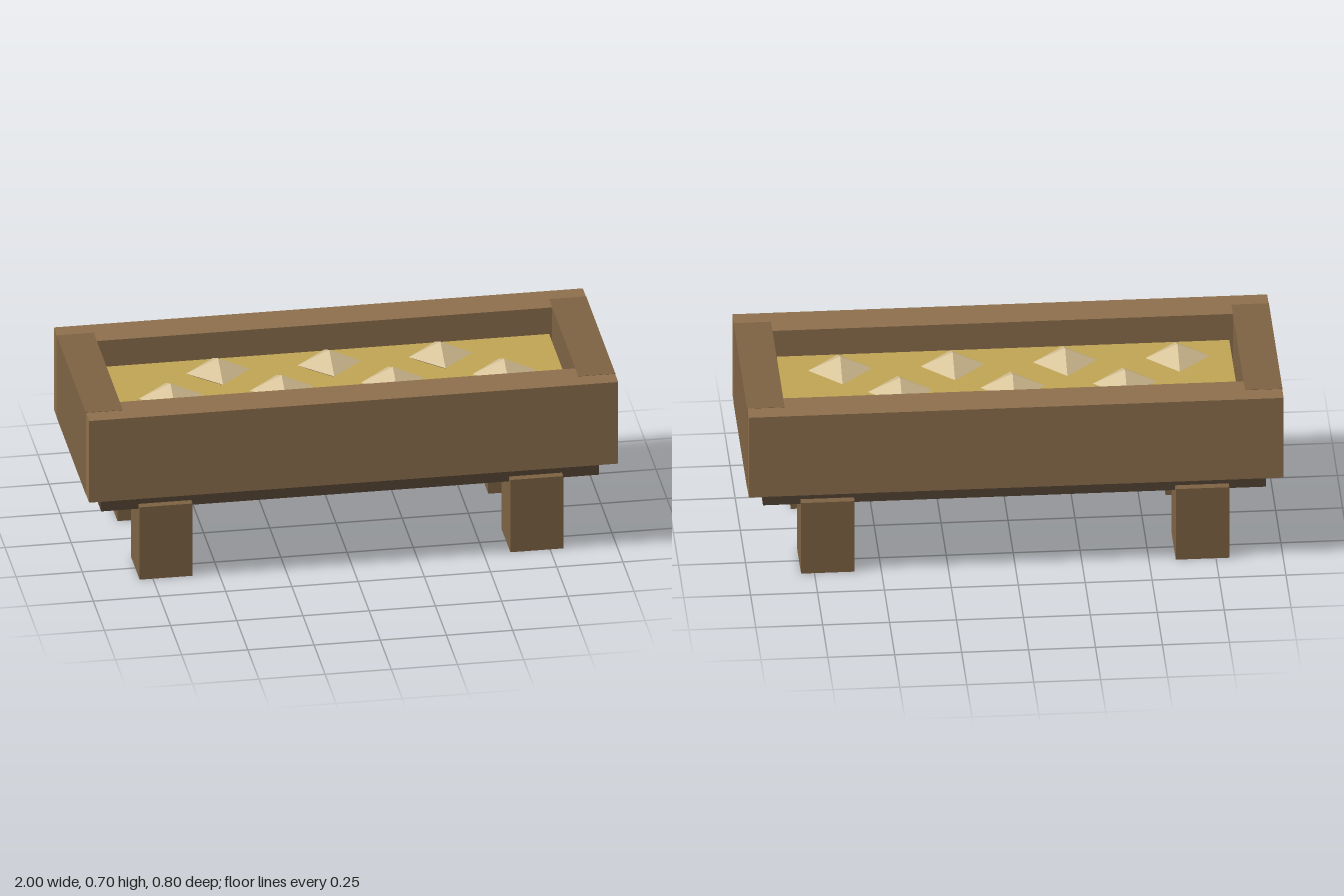
import * as THREE from 'three';

const mat = (color) => new THREE.MeshStandardMaterial({ color, flatShading: true });

export function createModel() {
  const model = new THREE.Group();
  model.name = 'trough';

  const wood = mat(0x8e704d);
  const darkerWood = mat(0x7e6344);
  const darkWood = mat(0x554434);
  const feed = mat(0xc0a555);
  const lump = mat(0xd2bd90);

  // Box given by its size, centre x and z, and bottom height
  const box = (name, material, w, h, d, x, y, z) => {
    const mesh = new THREE.Mesh(new THREE.BoxGeometry(w, h, d), material);
    mesh.name = name;
    mesh.position.set(x, y + h / 2, z);
    model.add(mesh);
  };

  // Floor board under the walls
  box('floor', darkWood, 1.88, 0.12, 0.64, 0, 0.28, 0);

  // Long walls; the end walls stand a hair proud where they overlap
  for (const s of [1, -1]) {
    box(s > 0 ? 'frontWall' : 'backWall', wood, 1.998, 0.339, 0.14, 0, 0.36, s * 0.33);
    box(s > 0 ? 'leftWall' : 'rightWall', darkerWood, 0.14, 0.34, 0.66, s * 0.93, 0.36, 0);
  }

  // Four square legs
  for (const x of [0.7, -0.7]) {
    for (const z of [0.25, -0.25]) {
      box(`${z > 0 ? 'front' : 'back'}${x > 0 ? 'Left' : 'Right'}Leg`, darkerWood, 0.2, 0.3, 0.2, x, 0, z);
    }
  }

  // Filling with a narrow gap to the walls
  box('filling', feed, 1.69, 0.21, 0.48, 0, 0.39, 0);

  // Two staggered rows of flattened octahedra, half sunk in the filling
  const lumpGeometry = new THREE.OctahedronGeometry(1, 0).scale(0.12, 0.055, 0.115);
  const rows = [
    { count: 3, x: -0.43, z: -0.093 },
    { count: 4, x: -0.64, z: 0.088 },
  ];
  for (const row of rows) {
    for (let i = 0; i < row.count; i++) {
      const mesh = new THREE.Mesh(lumpGeometry, lump);
      mesh.name = 'lump';
      mesh.position.set(row.x + i * 0.42, 0.62, row.z);
      model.add(mesh);
    }
  }

  return model;
}
